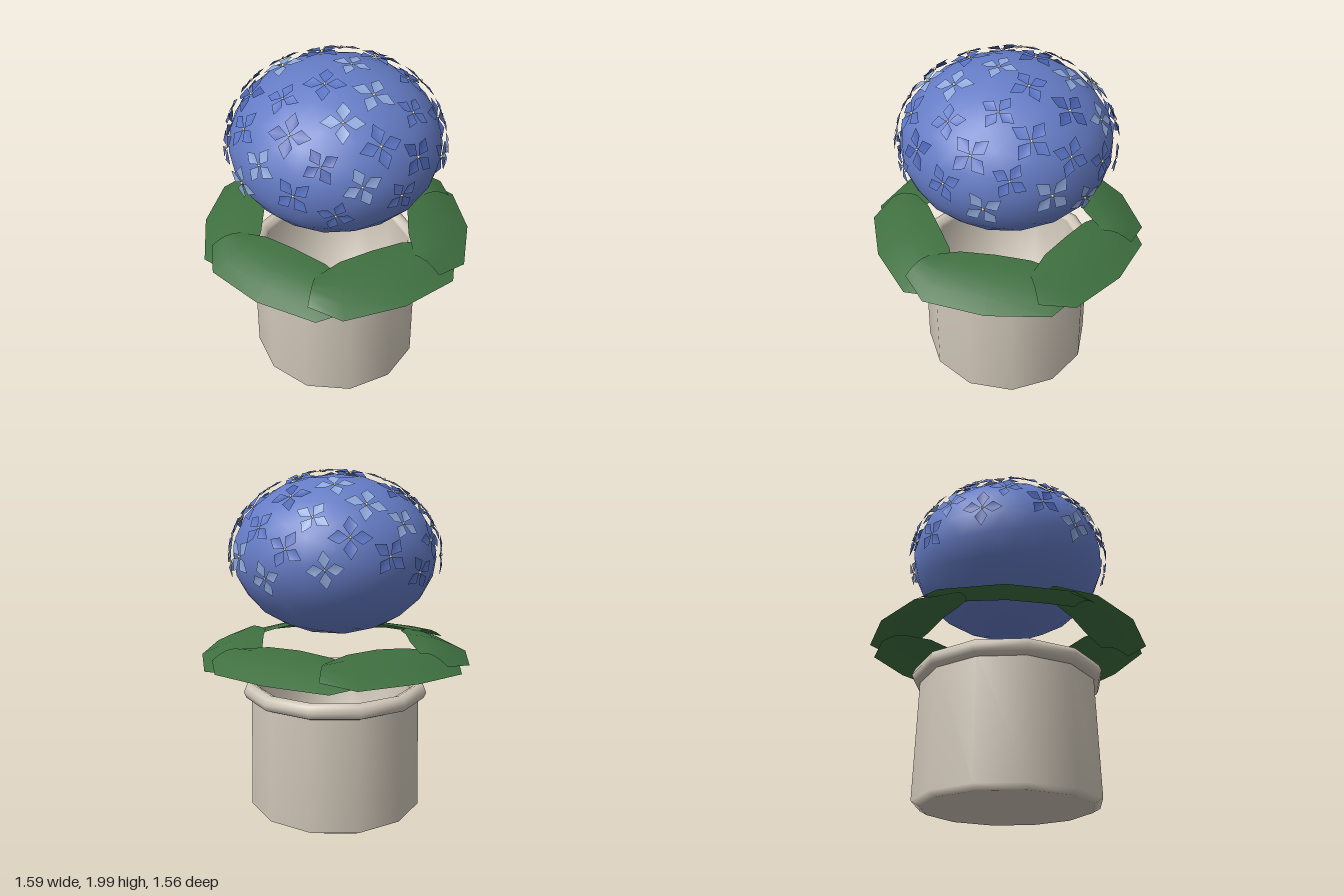
import * as THREE from 'three';
import { mergeGeometries } from 'three/addons/utils/BufferGeometryUtils.js';

const mat = (name, color, side = THREE.FrontSide) => {
  const m = new THREE.MeshStandardMaterial({ color, side });
  m.name = name;
  return m;
};

const mats = {
  clay: mat('pale clay', 0xcfc6b8),
  leaf: mat('leaf green', 0x3f7040, THREE.DoubleSide),
  bloom: mat('bloom blue', 0x657cc6),
  mid: mat('petal blue', 0x5a74c4, THREE.DoubleSide),
  dark: mat('petal deep blue', 0x4a62b0, THREE.DoubleSide),
  light: mat('petal light blue', 0x8ea8dc, THREE.DoubleSide),
  heart: mat('floret centre cream', 0xe8dca0),
};

function mesh(name, geometry, material) {
  const m = new THREE.Mesh(geometry, material);
  m.name = name;
  return m;
}

// Small seeded random number function
function seeded(seed) {
  return () => {
    seed = (seed * 16807) % 2147483647;
    return seed / 2147483647;
  };
}

// Hollow pot with a rounded rim
function makePot() {
  const pot = new THREE.Group();
  pot.name = 'pot';
  const profile = [
    [0, 0.01], [0.47, 0.01], [0.515, 0.035], [0.5, 0.72], [0.49, 0.77],
    [0.45, 0.75], [0.44, 0.1], [0, 0.08],
  ].map(([x, y]) => new THREE.Vector2(x, y));
  pot.add(mesh('potBody', new THREE.LatheGeometry(profile, 12), mats.clay));
  const rim = new THREE.TorusGeometry(0.5, 0.047, 8, 12);
  rim.rotateX(Math.PI / 2).translate(0, 0.737, 0);
  pot.add(mesh('potRim', rim, mats.clay));
  return pot;
}

// One broad leaf lying along the ring, sloping down outwards
function leafGeometry() {
  // Angle along the ring, inner radius, outer radius, lift
  const stations = [
    [-39, 0.57, 0.73, -0.012], [-25, 0.46, 0.8, -0.008], [0, 0.42, 0.78, 0],
    [25, 0.46, 0.8, 0.008], [39, 0.57, 0.74, 0.018],
  ];
  const across = 4;
  const geo = new THREE.PlaneGeometry(1, 1, across, stations.length - 1);
  const pos = geo.attributes.position;
  stations.forEach(([deg, inner, outer, lift], row) => {
    const a = THREE.MathUtils.degToRad(deg);
    for (let i = 0; i <= across; i++) {
      const t = i / across;
      const r = THREE.MathUtils.lerp(inner, outer, t);
      const y = 1.045 - (r - 0.42) * 0.29 + 0.025 * Math.sin(Math.PI * t) + lift;
      pos.setXYZ(row * (across + 1) + i, r * Math.cos(a), y, r * Math.sin(a));
    }
  });
  geo.computeVertexNormals();
  return geo;
}

function makeLeaves() {
  const leaves = new THREE.Group();
  leaves.name = 'leafRing';
  const geo = leafGeometry();
  for (let k = 0; k < 6; k++) {
    const leaf = mesh('leaf', geo, mats.leaf);
    leaf.rotation.y = -THREE.MathUtils.degToRad(42 + 60 * k);
    leaves.add(leaf);
  }
  return leaves;
}

// Four pointed petals, each a cupped kite, facing +y
function floretGeometry() {
  const petal = new THREE.BufferGeometry();
  petal.setAttribute('position', new THREE.Float32BufferAttribute([
    0, 0.008, 0.008, 0.036, 0.014, 0.055, 0.006, 0.002, 0.108, -0.034, 0.014, 0.06, 0, 0.004, 0.056,
  ], 3));
  petal.setIndex([4, 0, 3, 4, 3, 2, 4, 2, 1, 4, 1, 0].reverse());
  petal.computeVertexNormals();
  const petals = [0, 1, 2, 3].map(q => petal.clone().rotateY(q * Math.PI / 2));
  return mergeGeometries(petals);
}

// Florets spiral down from the crown of the bloom
function makeFlorets(centre, rx, ry) {
  const florets = new THREE.Group();
  florets.name = 'florets';
  const petals = floretGeometry();
  const heart = new THREE.SphereGeometry(0.008, 6, 4);
  const light = [0, 4, 5, 6, 10, 14, 19, 22, 28, 31, 37, 40, 41, 42, 45];
  const dark = [1, 9, 11, 12, 15, 17, 23, 26, 33, 38];
  const up = new THREE.Vector3(0, 1, 0);
  const random = seeded(17);
  for (let i = 0; i < 46; i++) {
    const c = 1 - 0.0255 * (i + 0.4);
    const s = Math.sqrt(1 - c * c);
    const a = -i * 2.39996;
    const floret = new THREE.Group();
    floret.name = 'floret';
    floret.position.set(rx * s * Math.cos(a), centre + ry * c, rx * s * Math.sin(a));
    const normal = new THREE.Vector3(s * Math.cos(a) / rx, c / ry, s * Math.sin(a) / rx).normalize();
    floret.quaternion.setFromUnitVectors(up, normal);
    floret.rotateY(random() * Math.PI);
    floret.scale.setScalar(0.88 + 0.2 * random());
    const tone = light.includes(i) ? mats.light : dark.includes(i) ? mats.dark : mats.mid;
    const eye = mesh('floretCentre', heart, mats.heart);
    eye.position.y = 0.01;
    floret.add(mesh('petals', petals, tone), eye);
    florets.add(floret);
  }
  return florets;
}

export function createModel() {
  const model = new THREE.Group();
  model.name = 'pottedFlower';
  model.add(makePot(), makeLeaves());

  // Rounded flower head
  const head = new THREE.IcosahedronGeometry(1, 3);
  head.scale(0.58, 0.45, 0.58).translate(0, 1.52, 0);
  model.add(mesh('flowerHead', head, mats.bloom));
  model.add(makeFlorets(1.52, 0.592, 0.462));
  return model;
}
